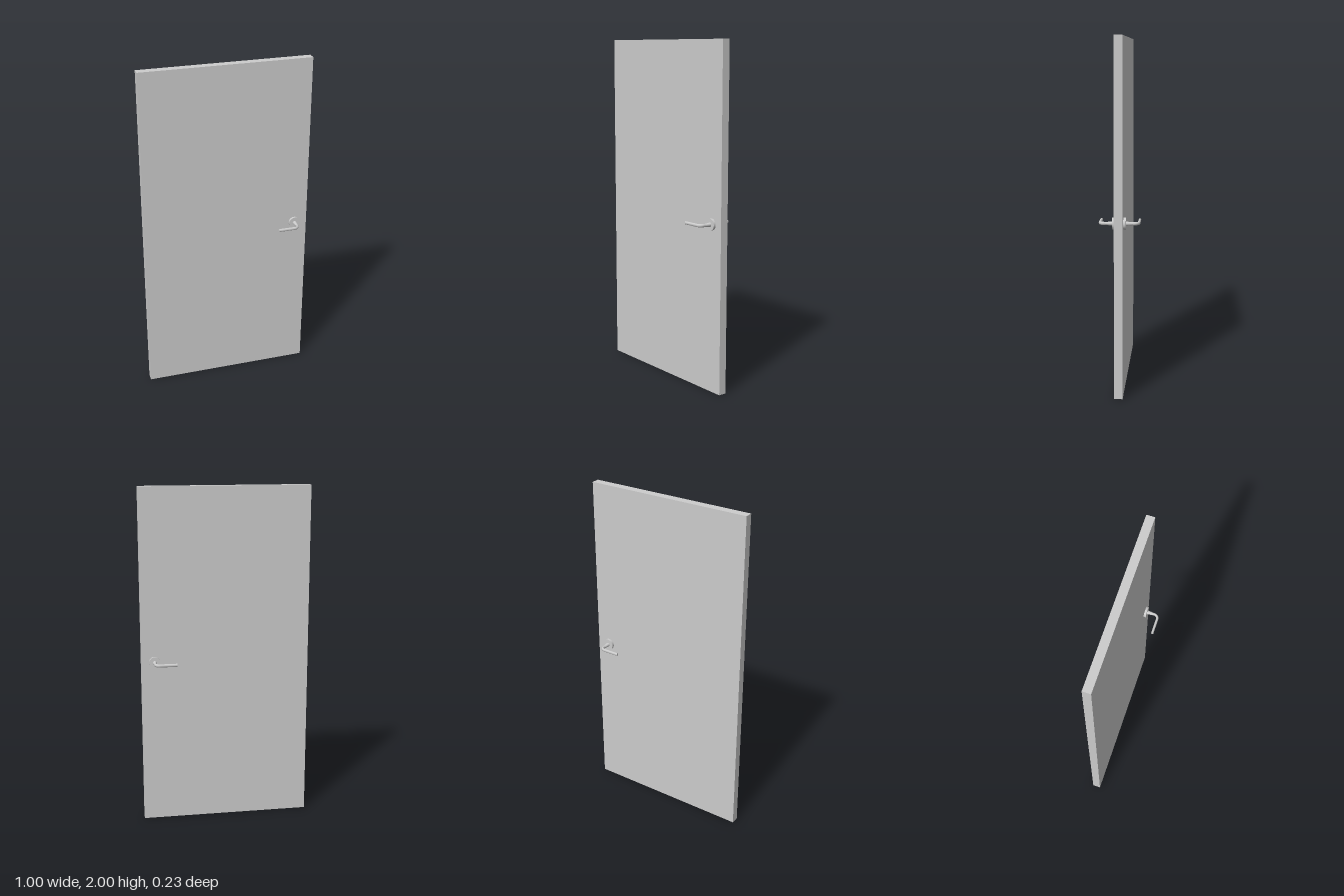
import * as THREE from 'three';

const material = new THREE.MeshStandardMaterial({ color: 0xcccccc });

function part(name, geometry, parent) {
  const mesh = new THREE.Mesh(geometry, material);
  mesh.name = name;
  parent.add(mesh);
  return mesh;
}

// One lever handle: the spindle axis is +z, the grip points to -x
function createHandle(name) {
  const handle = new THREE.Group();
  handle.name = name;

  const rose = new THREE.CylinderGeometry(0.034, 0.034, 0.018, 20);
  part('rose', rose.rotateX(Math.PI / 2).translate(0, 0, 0.029), handle);

  const neck = new THREE.CylinderGeometry(0.008, 0.0125, 0.04, 16, 1, true);
  part('neck', neck.rotateX(Math.PI / 2).translate(0, 0, 0.057), handle);

  // Stem, rounded elbow and straight grip in one sweep
  const reach = 0.108, bend = 0.026, tip = -0.125;
  const v = (x, z) => new THREE.Vector3(x, 0, z);
  const path = new THREE.CurvePath();
  path.add(new THREE.LineCurve3(v(0, 0.03), v(0, reach - bend)));
  path.add(new THREE.CubicBezierCurve3(
    v(0, reach - bend), v(0, reach - bend * 0.45),
    v(-bend * 0.45, reach), v(-bend, reach)));
  path.add(new THREE.LineCurve3(v(-bend, reach), v(tip, reach)));
  const lever = new THREE.TubeGeometry(path, 40, 0.0075, 12).scale(1, 1.25, 1);
  part('lever', lever, handle);

  const cap = new THREE.CircleGeometry(0.0075, 12).rotateY(-Math.PI / 2);
  part('leverEnd', cap.scale(1, 1.25, 1).translate(tip, 0, reach), handle);
  return handle;
}

export function createModel() {
  const door = new THREE.Group();
  door.name = 'door';

  part('doorLeaf', new THREE.BoxGeometry(1, 2, 0.048).translate(0, 1, 0), door);

  // Matching handles on both faces
  ['frontHandle', 'backHandle'].forEach((name, i) => {
    const handle = createHandle(name);
    handle.position.set(0.422, 0.983, 0);
    handle.rotation.x = i * Math.PI;
    door.add(handle);
  });
  return door;
}
